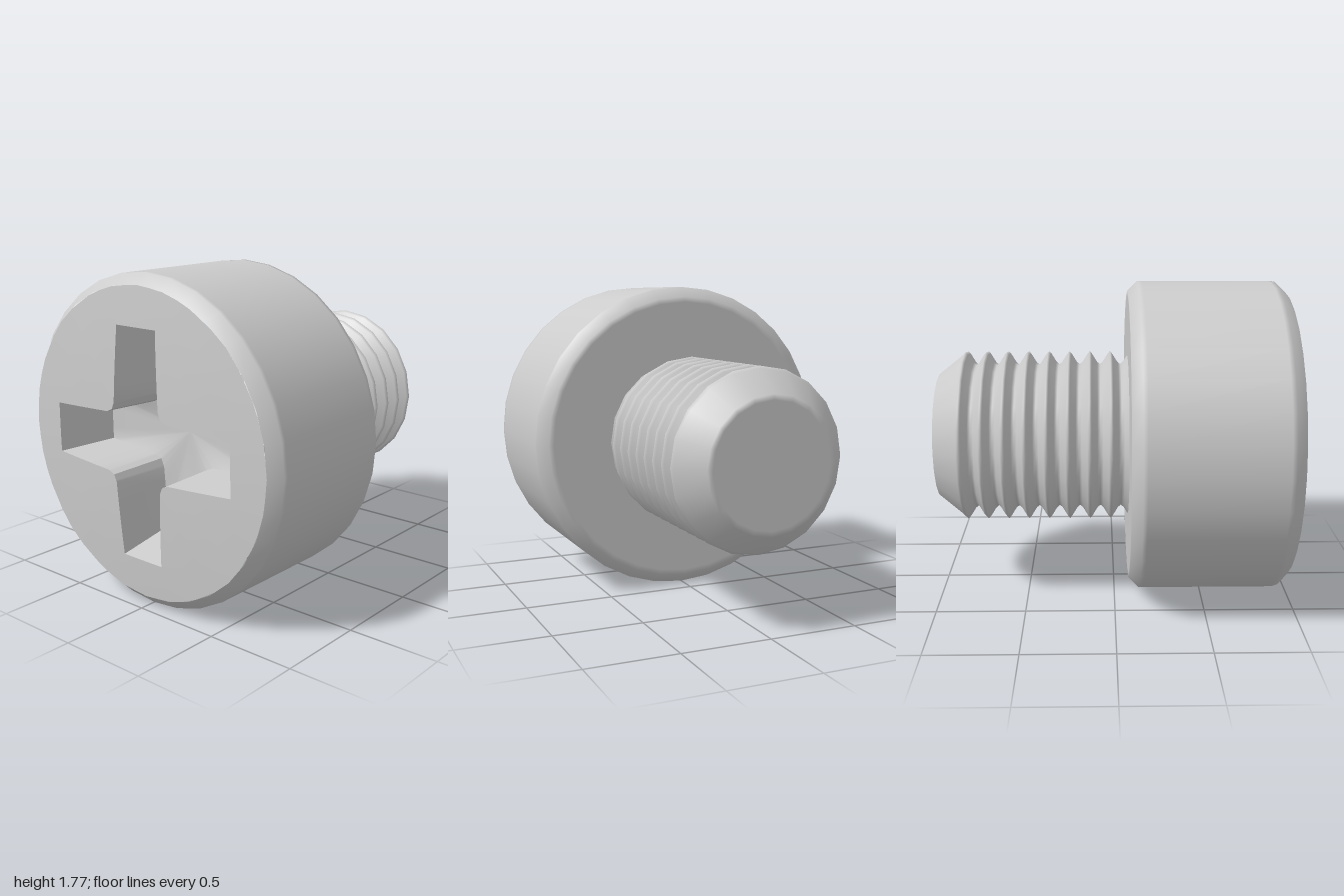
import * as THREE from 'three';
import { toCreasedNormals } from 'three/addons/utils/BufferGeometryUtils.js';

const material = new THREE.MeshStandardMaterial({ color: 0xcccccc });
const HEAD_SIDES = 32, RIM = 0.83;

// Revolve [radius, z] points, listed from back to front, around the z axis
function revolve(name, points, sides) {
  const geo = new THREE.LatheGeometry(points.map(([r, z]) => new THREE.Vector2(r, z)), sides);
  geo.rotateX(Math.PI / 2);
  const mesh = new THREE.Mesh(geo, material);
  mesh.name = name;
  return mesh;
}

// Join closed loops of [x, y, z] points, from the outermost to the innermost
function loft(name, rings, crease) {
  const n = rings[0].length, index = [];
  for (let k = 0; k < rings.length - 1; k++) {
    for (let i = 0; i < n; i++) {
      const a = k * n + i, b = k * n + (i + 1) % n;
      index.push(a, b, b + n, a, b + n, a + n);
    }
  }
  let geo = new THREE.BufferGeometry();
  geo.setAttribute('position', new THREE.Float32BufferAttribute(rings.flat(2), 3));
  geo.setIndex(index);
  geo.computeVertexNormals();
  if (crease) geo = toCreasedNormals(geo, crease);
  const mesh = new THREE.Mesh(geo, material);
  mesh.name = name;
  return mesh;
}

// Cross outline, counter-clockwise; each arm tapers and the inner corners are rounded
function crossOutline(length, end, root) {
  const c = 0.215, f = c - (c - root) * 0.7;
  const arm = [[c, -root], [length, -end], [length, end], [c, root], [f, f]];
  const corners = [];
  for (let q = 0; q < 4; q++) {
    const co = [1, 0, -1, 0][q], si = [0, 1, 0, -1][q];
    for (const [x, y] of arm) corners.push([x * co - y * si, x * si + y * co]);
  }
  return corners.flatMap(([x, y], i) => {
    const [u, v] = corners[(i + 1) % corners.length];
    return [0, 0.25, 0.5, 0.75].map(t => [x + (u - x) * t, y + (v - y) * t]);
  });
}

const domeHeight = r => 0.965 + 0.037 * (1 - (r / RIM) ** 2);

export function createModel() {
  const model = new THREE.Group();

  // Head: flat underside, chamfered edges
  model.add(revolve('head', [
    [0, 0.08], [0.8, 0.08], [0.83, 0.08], [0.887, 0.137], [0.887, 0.16],
    [0.887, 0.88], [0.887, 0.905], [RIM, 0.965],
  ], HEAD_SIDES));

  // Domed front face, from the rim to the cross-shaped opening
  const opening = crossOutline(0.62, 0.138, 0.16);
  const step = 2 * Math.PI / HEAD_SIDES;
  const rimPoints = opening.map(([x, y]) => {
    const a = Math.atan2(y, x) + 2 * Math.PI;
    const r = RIM * Math.cos(step / 2) / Math.cos((a % step) - step / 2);
    return [r * Math.cos(a), r * Math.sin(a)];
  });
  const faceRings = [0, 0.25, 0.5, 0.75, 1].map(t => opening.map(([x, y], i) => {
    const px = rimPoints[i][0] * (1 - t) + x * t, py = rimPoints[i][1] * (1 - t) + y * t;
    return [px, py, domeHeight(Math.hypot(px, py))];
  }));
  model.add(loft('frontFace', faceRings));

  // Recess: slightly tapered walls and a floor dipping to the centre
  const lip = faceRings[faceRings.length - 1];
  const bottom = crossOutline(0.55, 0.122, 0.148).map(([x, y]) => [x, y, 0.66]);
  model.add(loft('recessWalls', [lip, bottom], 0.6));
  model.add(loft('recessFloor', [bottom, bottom.map(() => [0, 0, 0.6])], 0.6));

  // Threaded shaft: chamfered tip, then ridges with rounded roots
  const profile = [[0, -1], [0.33, -1], [0.36, -1]];
  const pitch = 0.118;
  for (let i = 0; i < 8; i++) {
    const z = -0.845 + i * pitch;
    profile.push([0.475, z - 0.012], [0.488, z], [0.475, z + 0.012],
      [0.425, z + 0.043], [0.412, z + pitch / 2], [0.425, z + 0.075]);
  }
  profile.push([0.47, 0.085]);
  model.add(revolve('threadedShaft', profile, 20));

  model.position.y = 0.887;
  const root = new THREE.Group();
  root.name = 'screw';
  root.add(model);
  return root;
}
